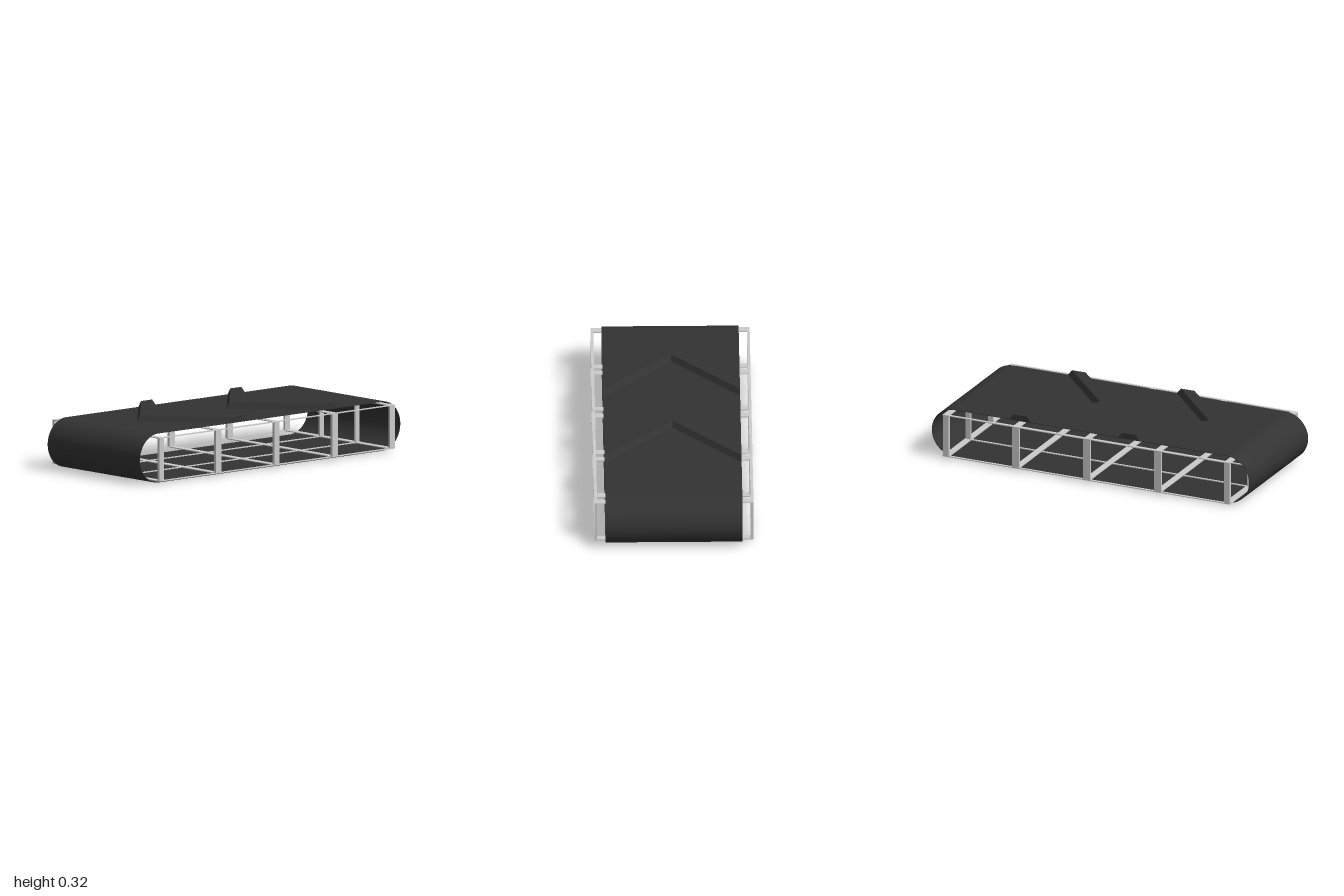
import * as THREE from 'three';

const BELT_HALF = 0.39;   // half width of the belt
const FRAME_HALF = 0.445; // centre line of the outer rails

// Rounded loop outline with a semicircle at each end
function loopPath(PathType, radius) {
  const cx = 0.8575, cy = 0.1425;
  const p = new PathType();
  p.moveTo(-cx, cy - radius);
  p.lineTo(cx, cy - radius);
  p.absarc(cx, cy, radius, -Math.PI / 2, Math.PI / 2, false);
  p.lineTo(-cx, cy + radius);
  p.absarc(-cx, cy, radius, Math.PI / 2, Math.PI * 1.5, false);
  return p;
}

export function createModel() {
  const model = new THREE.Group();
  model.name = 'conveyor';
  const dark = new THREE.MeshStandardMaterial({ color: 0x333333 });
  const grey = new THREE.MeshStandardMaterial({ color: 0xcccccc });

  const add = (name, geometry, material, parent = model) => {
    const mesh = new THREE.Mesh(geometry, material);
    mesh.name = name;
    parent.add(mesh);
    return mesh;
  };

  // Belt: thin open loop
  const outline = loopPath(THREE.Shape, 0.1425);
  outline.holes.push(loopPath(THREE.Path, 0.1395));
  const belt = new THREE.ExtrudeGeometry(outline, {
    depth: BELT_HALF * 2, bevelEnabled: false, curveSegments: 24,
  });
  belt.translate(0, 0, -BELT_HALF);
  add('belt', belt, dark);

  // Chevron cleats: bevelled strip swept back from the centre line
  const profile = new THREE.Shape([
    new THREE.Vector2(0, 0.283), new THREE.Vector2(0.135, 0.283),
    new THREE.Vector2(0.107, 0.317), new THREE.Vector2(0.022, 0.317),
  ]);
  const cleat = new THREE.ExtrudeGeometry(profile, {
    depth: BELT_HALF * 2, steps: 2, bevelEnabled: false,
  });
  cleat.translate(0, 0, -BELT_HALF);
  const pos = cleat.attributes.position;
  for (let i = 0; i < pos.count; i++) {
    pos.setX(i, pos.getX(i) + Math.abs(pos.getZ(i)) * 0.925);
  }
  cleat.computeVertexNormals();
  for (const x of [-0.667, 0.018]) add('chevronCleat', cleat, dark).position.x = x;

  // Frame
  const frame = new THREE.Group();
  frame.name = 'frame';
  model.add(frame);
  const bar = (name, w, h, d, x, y, z) =>
    add(name, new THREE.BoxGeometry(w, h, d), grey, frame).position.set(x, y, z);

  const stations = [-0.887, -0.45, -0.003, 0.443, 0.883];
  for (const y of [0.0185, 0.2665]) {
    // Outer rails and slimmer inner rails
    for (const s of [-1, 1]) {
      bar('outerRail', 1.806, 0.005, 0.016, -0.002, y, s * FRAME_HALF);
      bar('innerRail', 1.77, 0.005, 0.012, -0.002, y, s * 0.15);
    }
    // Flat cross strips
    for (const x of stations) bar('crossStrip', 0.04, 0.005, 0.9, x, y, 0);
  }
  stations.forEach((x, i) => {
    const end = i === 0 || i === 4;
    for (const s of [-1, 1]) {
      bar('post', end ? 0.036 : 0.042, 0.25, 0.016, x, 0.1425, s * FRAME_HALF);
      if (end) bar('innerPost', 0.03, 0.25, 0.012, x, 0.1425, s * 0.15);
    }
  });

  return model;
}
